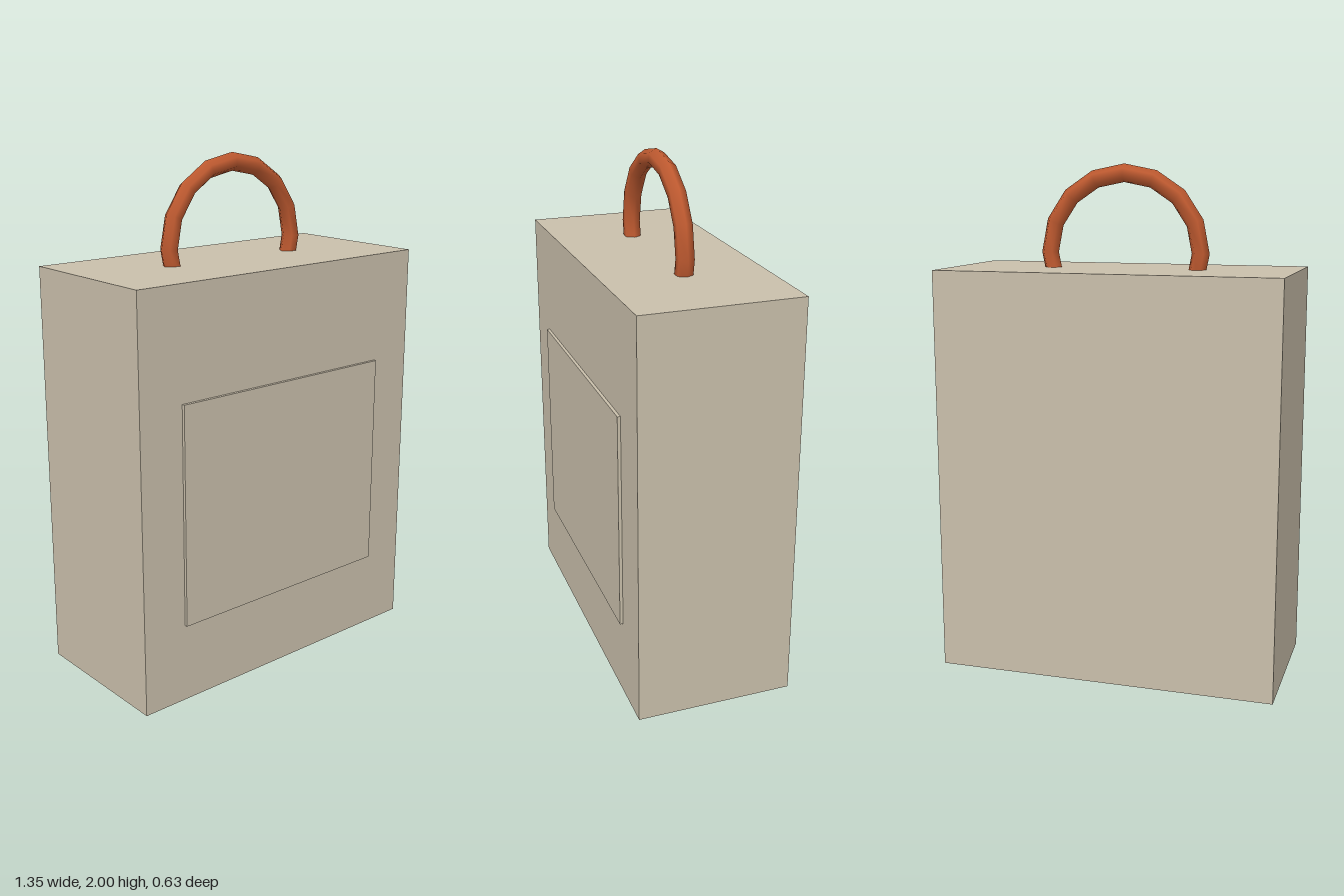
import * as THREE from 'three';

export function createModel() {
  const model = new THREE.Group();
  model.name = 'bag';

  const canvas = new THREE.MeshStandardMaterial({ color: 0xc9bfab });
  canvas.name = 'beige canvas';
  const leather = new THREE.MeshStandardMaterial({ color: 0xbf5a30 });
  leather.name = 'rust leather';

  const add = (name, geometry, material, x, y, z) => {
    const mesh = new THREE.Mesh(geometry, material);
    mesh.name = name;
    mesh.position.set(x, y, z);
    model.add(mesh);
    return mesh;
  };

  // Bag body, standing on the ground
  add('body', new THREE.BoxGeometry(1.35, 1.6, 0.615), canvas, 0, 0.8, -0.0075);

  // Flat pocket, raised slightly from the front face
  add('frontPocket', new THREE.BoxGeometry(0.98, 0.86, 0.03), canvas, 0, 0.74, 0.297);

  // Carry handle: six-sided ring, its ends sunk into the top of the body
  const step = Math.PI / 8;
  const ring = new THREE.TorusGeometry(0.305, 0.035, 6, 10, step * 10);
  ring.rotateZ(-step);
  add('handle', ring, leather, 0, 1.66, -0.0075);

  return model;
}
